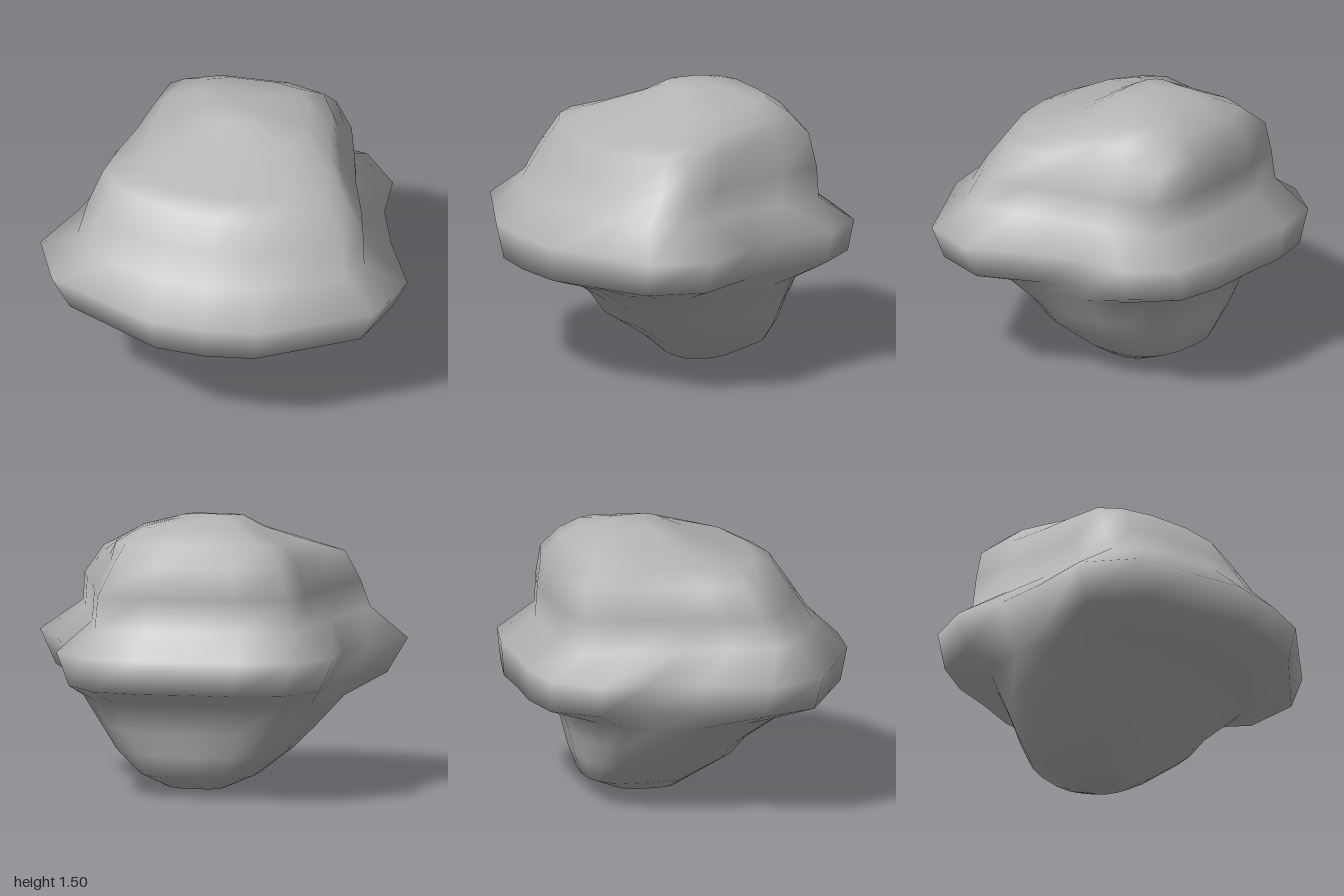
import * as THREE from 'three';

// Half outlines [x, z] from front centre round the left side to back centre, scaled to +-1
const RIM = [[0, 1], [.3, .97], [.57, .82], [.88, .65], [1, .3], [.85, -.07], [.76, -.38], [.755, -.68], [.57, -.94], [.28, -1], [0, -.99]];
const DOME = [[0, 1], [.33, .95], [.66, .82], [.89, .66], [1, .48], [.93, .15], [.84, -.18], [.77, -.54], [.69, -.9], [.32, -1], [0, -1]];
const CROWN = [[0, 1], [.36, .98], [.72, .88], [.93, .66], [1, .38], [.98, .08], [.94, -.25], [.9, -.58], [.75, -.88], [.36, -1], [0, -1]];
// Rounded square
const soften = (v) => Math.sign(v) * Math.abs(v) ** .76;
const ROUND = RIM.map((_, i) => {
  const a = i / 10 * Math.PI;
  return [soften(Math.sin(a)), soften(Math.cos(a))];
});

// Cross-sections: outline, back height, front height, right x, left x, back z, front z
const LEVELS = [
  [ROUND, .03, .025, -.1, .22, -.34, -.01],
  [ROUND, .11, .11, -.28, .36, -.52, .08],
  [ROUND, .23, .25, -.45, .5, -.56, .29],
  [ROUND, .36, .36, -.57, .58, -.59, .36],
  [ROUND, .52, .51, -.71, .69, -.65, .58],
  [RIM, .61, .6, -.89, .91, -.88, .87],
  [RIM, .79, .79, -1, 1, -.89, .9],
  [DOME, .93, .95, -.78, .78, -.71, .73],
  [DOME, 1.1, 1.1, -.74, .76, -.70, .63],
  [DOME, 1.27, 1.26, -.67, .64, -.69, .52],
  [CROWN, 1.38, 1.31, -.48, .52, -.6, .4],
  [CROWN, 1.455, 1.41, -.29, .37, -.49, .08],
  [CROWN, 1.49, 1.485, -.19, .15, -.34, -.06],
];

// Mirror the half outline, fit it to the section's extents and tilt it from back to front
function ring([half, yb, yf, xr, xl, zb, zf]) {
  const mirrored = half.slice(1, -1).reverse().map(([x, z]) => [-x, z]);
  return [...half, ...mirrored].map(([x, z]) => [
    x > 0 ? x * xl : -x * xr,
    (yf + yb) / 2 + z * (yf - yb) / 2,
    (zf + zb) / 2 + z * (zf - zb) / 2,
  ]);
}

// Join closed rings bottom to top, with a point at each end
function loft(rings, bottom, top) {
  const n = rings[0].length;
  const points = [...rings.flat(), bottom, top];
  const low = rings.length * n, high = low + 1;
  const last = (rings.length - 1) * n;
  const index = [];
  for (let i = 0; i < n; i++) {
    const j = (i + 1) % n;
    for (let k = 0; k < rings.length - 1; k++) {
      const a = k * n + i, b = k * n + j;
      index.push(a, b, b + n, a, b + n, a + n);
    }
    index.push(low, j, i, high, last + i, last + j);
  }
  const geometry = new THREE.BufferGeometry();
  geometry.setAttribute('position', new THREE.Float32BufferAttribute(points.flat(), 3));
  geometry.setIndex(index);
  geometry.computeVertexNormals();
  return geometry;
}

export function createModel() {
  const stoneGrey = new THREE.MeshStandardMaterial({ color: 0xb4b4b4 });
  stoneGrey.name = 'stone grey';

  // Rounded boulder with a protruding rim
  const boulder = new THREE.Mesh(loft(LEVELS.map(ring), [0, 0, -.07], [-.06, 1.5, -.2]), stoneGrey);
  boulder.name = 'rimmedBoulder';

  const model = new THREE.Group();
  model.name = 'boulder';
  model.add(boulder);
  return model;
}
